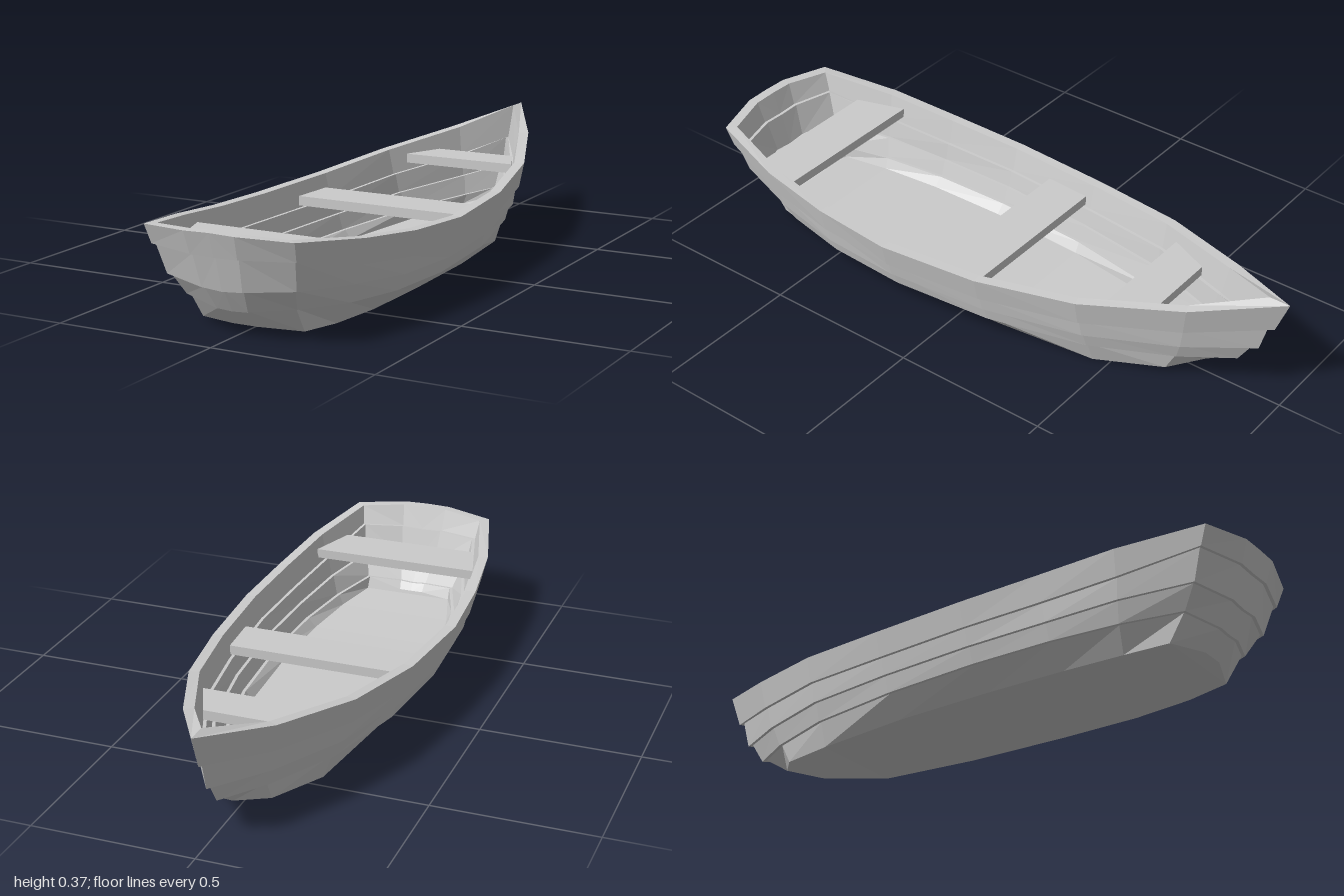
import * as THREE from 'three';

// Half outlines of the plank edges, from the bow round to the middle of the stern.
// bow and stern tell how far the ends draw in below the rim.
const Z = [-1, -0.75, -0.45, -0.13, 0.2, 0.46, 0.7, 0.955, 1, 1];
const BOW_FADE = [1, 0.35, 0, 0, 0, 0, 0, 0, 0, 0];
const STERN_FADE = [0, 0, 0, 0, 0, 0, 0.3, 1, 1, 1];
const LEVELS = [
  { bow: 0, stern: 0,
    x: [0, 0.14, 0.26, 0.324, 0.353, 0.34, 0.31, 0.238, 0.08, 0],
    y: [0.365, 0.31, 0.27, 0.242, 0.235, 0.248, 0.273, 0.305, 0.313, 0.315] },
  { bow: 0.04, stern: 0.022,
    x: [0, 0.127, 0.243, 0.306, 0.335, 0.323, 0.292, 0.23, 0.075, 0],
    y: [0.26, 0.22, 0.19, 0.165, 0.16, 0.17, 0.195, 0.246, 0.244, 0.242] },
  { bow: 0.085, stern: 0.06,
    x: [0, 0.112, 0.222, 0.285, 0.313, 0.303, 0.27, 0.207, 0.065, 0],
    y: [0.17, 0.15, 0.13, 0.113, 0.108, 0.115, 0.135, 0.155, 0.145, 0.14] },
  { bow: 0.15, stern: 0.11,
    x: [0, 0.092, 0.195, 0.262, 0.288, 0.278, 0.242, 0.178, 0.05, 0],
    y: [0.1, 0.09, 0.075, 0.063, 0.06, 0.065, 0.075, 0.09, 0.076, 0.073] },
  { bow: 0.26, stern: 0.17,
    x: [0, 0.085, 0.16, 0.195, 0.205, 0.203, 0.188, 0.165, 0.04, 0],
    y: [0.042, 0.025, 0, 0, 0, 0, 0.004, 0.012, 0.02, 0.02] },
];

const outline = ({ bow, stern, x, y }) => Z.map((z, i) =>
  new THREE.Vector3(x[i], y[i], z + bow * BOW_FADE[i] - stern * STERN_FADE[i]));

// Moves a half outline inward by d, with mitred corners
function inset(line, d) {
  const last = line.length - 1;
  const normal = (a, b) => new THREE.Vector2(b.z - a.z, a.x - b.x).normalize();
  return line.map((p, i) => {
    const before = i > 0 ? normal(line[i - 1], p) : null;
    const after = i < last ? normal(p, line[i + 1]) : null;
    const n1 = before ?? new THREE.Vector2(-after.x, after.y);
    const n2 = after ?? new THREE.Vector2(-before.x, before.y);
    const k = d / (1 + n1.dot(n2));
    return new THREE.Vector3(p.x - (n1.x + n2.x) * k, p.y, p.z - (n1.y + n2.y) * k);
  });
}

const mirror = (p) => new THREE.Vector3(-p.x, p.y, p.z);

function meshFrom(name, points, material) {
  const geometry = new THREE.BufferGeometry().setFromPoints(points);
  geometry.computeVertexNormals();
  const mesh = new THREE.Mesh(geometry, material);
  mesh.name = name;
  return mesh;
}

// Skin between neighbouring half outlines, mirrored to both sides
function skin(name, lines, material) {
  const pts = [];
  for (let k = 0; k < lines.length - 1; k++) {
    const a = lines[k], b = lines[k + 1];
    for (let i = 0; i < a.length - 1; i++) {
      const tris = [[a[i], a[i + 1], b[i]], [b[i], a[i + 1], b[i + 1]]];
      for (const [p, q, r] of tris) pts.push(p, q, r, mirror(p), mirror(r), mirror(q));
    }
  }
  return meshFrom(name, pts, material);
}

// Surface across the boat between the two sides of a half outline
function deck(name, line, up, material) {
  const pts = [];
  const add = (a, b, c) => (up ? pts.push(a, b, c) : pts.push(a, c, b));
  for (let i = 0; i < line.length - 1; i++) {
    const p = line[i], q = line[i + 1];
    if (i > 0) add(p, mirror(p), q);
    if (i < line.length - 2) add(q, mirror(p), mirror(q));
  }
  return meshFrom(name, pts, material);
}

// Seat board whose ends follow the hull
function thwart(name, y, z0, z1, half0, half1, material) {
  const t = 0.03;
  const geometry = new THREE.BoxGeometry(2, t, z1 - z0);
  const pos = geometry.attributes.position;
  for (let i = 0; i < pos.count; i++) {
    pos.setX(i, pos.getX(i) * (pos.getZ(i) < 0 ? half0 : half1));
  }
  geometry.computeVertexNormals();
  const mesh = new THREE.Mesh(geometry, material);
  mesh.name = name;
  mesh.position.set(0, y - t / 2, (z0 + z1) / 2);
  return mesh;
}

export function createModel() {
  const group = new THREE.Group();
  group.name = 'rowingBoat';
  const material = new THREE.MeshStandardMaterial({ color: 0xcccccc, flatShading: true });
  const edges = LEVELS.map(outline);
  const wall = 0.032, lap = 0.01;

  // Floor lies between the lowest two plank edges
  const floor = inset(edges[4].map((p, i) => p.clone().lerp(edges[3][i], 0.55)), wall);

  // Overlapping planks, outside and inside
  const names = ['top', 'upper', 'lower', 'bottom'];
  names.forEach((name, k) => {
    const offset = k ? lap : 0;
    const outer = [inset(edges[k], offset), edges[k + 1]];
    if (k) outer.unshift(edges[k]);
    const inner = [k < 3 ? inset(edges[k + 1], wall) : floor, inset(edges[k], wall + offset)];
    if (k) inner.push(inset(edges[k], wall));
    group.add(skin(name + 'PlankOutside', outer, material));
    group.add(skin(name + 'PlankInside', inner, material));
  });

  // Rim, floor and flat underside
  group.add(skin('gunwale', [inset(edges[0], wall), edges[0]], material));
  group.add(deck('floor', floor, true, material));
  group.add(deck('underside', edges[4], false, material));

  // Seats
  group.add(thwart('bowSeat', 0.25, -0.63, -0.5, 0.135, 0.193, material));
  group.add(thwart('middleSeat', 0.2, -0.105, 0.045, 0.28, 0.29, material));
  group.add(thwart('sternSeat', 0.24, 0.64, 0.8, 0.275, 0.225, material));

  return group;
}
